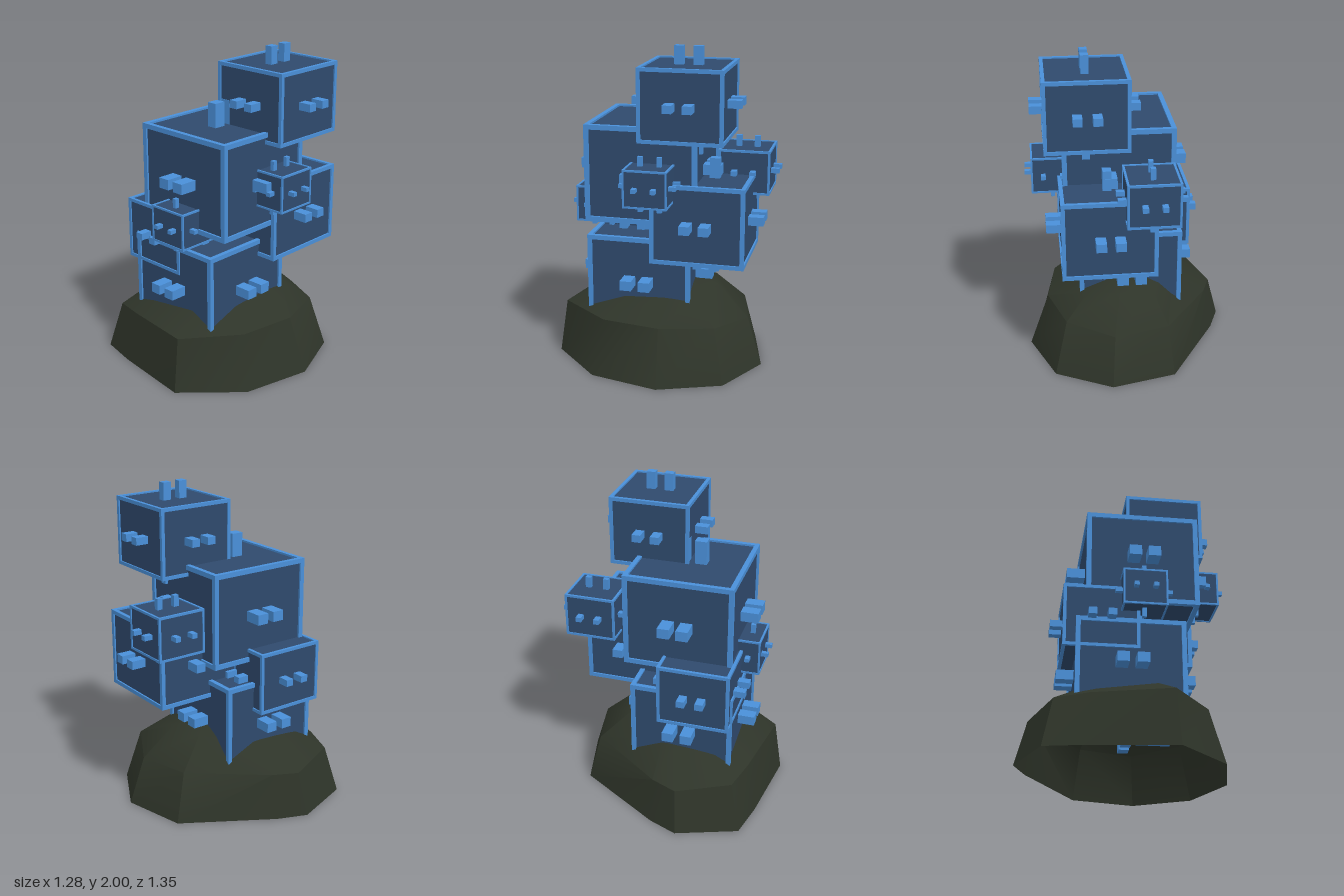
import * as THREE from 'three';
import { toCreasedNormals } from 'three/addons/utils/BufferGeometryUtils.js';

const frameMat = new THREE.MeshStandardMaterial({ color: 0x4a90d9 });
frameMat.name = 'bright blue';
const panelMat = new THREE.MeshStandardMaterial({ color: 0x2f4a6d });
panelMat.name = 'dark blue';
const rockMat = new THREE.MeshStandardMaterial({ color: 0x2e3429, side: THREE.DoubleSide });
rockMat.name = 'dark moss';

const FLAT = 0.865; // height of a crate relative to its width
const PAIR = 0.057; // half the spacing between paired pegs

function addBox(parent, name, mat, size, pos) {
  const mesh = new THREE.Mesh(new THREE.BoxGeometry(...size), mat);
  mesh.name = name;
  mesh.position.set(...pos);
  parent.add(mesh);
}

// Crate: recessed panels, twelve edge beams and a pair of pegs on every face
function makeCrate(s, x, y, z) {
  const crate = new THREE.Group();
  crate.name = 'crate';
  crate.position.set(x, y, z);
  const h = s * FLAT, t = s * 0.043, inset = s * 0.035;
  addBox(crate, 'panels', panelMat, [s - inset, h - inset, s - inset], [0, 0, 0]);

  const a = (s - t) / 2, b = (h - t) / 2;
  for (const i of [-1, 1]) {
    for (const j of [-1, 1]) {
      addBox(crate, 'edgeBeamX', frameMat, [s, t, t], [0, i * b, j * a]);
      addBox(crate, 'edgeBeamY', frameMat, [t, h, t], [i * a, 0, j * a]);
      addBox(crate, 'edgeBeamZ', frameMat, [t, t, s], [i * a, j * b, 0]);

      // i picks the face, j the peg of the pair
      const w = s * 0.109, d = s * 0.093, side = s * 0.165, up = s * 0.22;
      const out = s * 0.645 - side / 2, top = h / 2 + s * 0.2 - up / 2;
      addBox(crate, 'sidePeg', frameMat, [side, d, w], [i * out, 0, j * PAIR]);
      addBox(crate, 'facePeg', frameMat, [w, d, side], [j * PAIR, 0, i * out]);
      addBox(crate, 'verticalPeg', frameMat, [d, up, w], [0, i * top, j * PAIR]);
    }
  }
  return crate;
}

// Rock mound: irregular rim, shoulder and crown rings, open underneath
function makeRock() {
  const rim = [[0.145, -0.625], [0.49, -0.445], [0.637, -0.065], [0.54, 0.36], [0.23, 0.67],
    [-0.28, 0.605], [-0.51, 0.555], [-0.645, 0.18], [-0.573, 0], [-0.25, -0.53]];
  const shoulder = [[0.85, 0.3], [0.84, 0.33], [0.81, 0.34], [0.85, 0.34], [0.93, 0.34],
    [0.9, 0.32], [0.88, 0.3], [0.89, 0.27], [0.9, 0.28], [0.86, 0.31]];
  const crown = [[0.53, 0.49], [0.55, 0.46], [0.5, 0.45], [0.58, 0.44], [0.64, 0.44],
    [0.6, 0.43], [0.56, 0.43], [0.52, 0.42], [0.53, 0.44], [0.53, 0.48]];
  const lift = (ring) => ring.map(([k, y], i) => [rim[i][0] * k, y, rim[i][1] * k]);
  const rings = [rim.map(([x, z]) => [x, 0, z]), lift(shoulder), lift(crown),
    rim.map(([x, z]) => [x * 0.2, 0.53, z * 0.2 - 0.08])];
  const n = rim.length, pos = [];
  for (let r = 0; r < rings.length; r++) {
    for (let i = 0; i < n; i++) {
      const k = (i + 1) % n;
      const a = rings[r][i], b = rings[r][k];
      if (r === rings.length - 1) {
        pos.push(...a, 0, 0.54, -0.08, ...b);
      } else {
        const c = rings[r + 1][i], d = rings[r + 1][k];
        pos.push(...a, ...c, ...b, ...b, ...c, ...d);
      }
    }
  }
  const geo = new THREE.BufferGeometry();
  geo.setAttribute('position', new THREE.Float32BufferAttribute(pos, 3));
  const rock = new THREE.Mesh(toCreasedNormals(geo, 0.65), rockMat);
  rock.name = 'rockMound';
  return rock;
}

export function createModel() {
  const model = new THREE.Group();
  model.name = 'crateStack';
  model.add(makeRock());
  // width, then centre
  const crates = {
    baseCrate: [0.645, -0.007, 0.55, 0.123],
    frontRightCrate: [0.45, -0.18, 0.838, 0.218],
    backCrate: [0.567, 0.15, 0.965, -0.263],
    middleCrate: [0.68, 0.068, 1.245, 0.083],
    topCrate: [0.5, 0.265, 1.685, -0.18],
    smallLeftCrate: [0.262, 0.46, 1.215, 0.007],
    smallBackCrate: [0.315, -0.097, 1.215, -0.477],
    smallFrontCrate: [0.262, 0.064, 0.99, 0.419],
  };
  for (const [name, dims] of Object.entries(crates)) {
    const crate = makeCrate(...dims);
    crate.name = name;
    model.add(crate);
  }
  return model;
}
